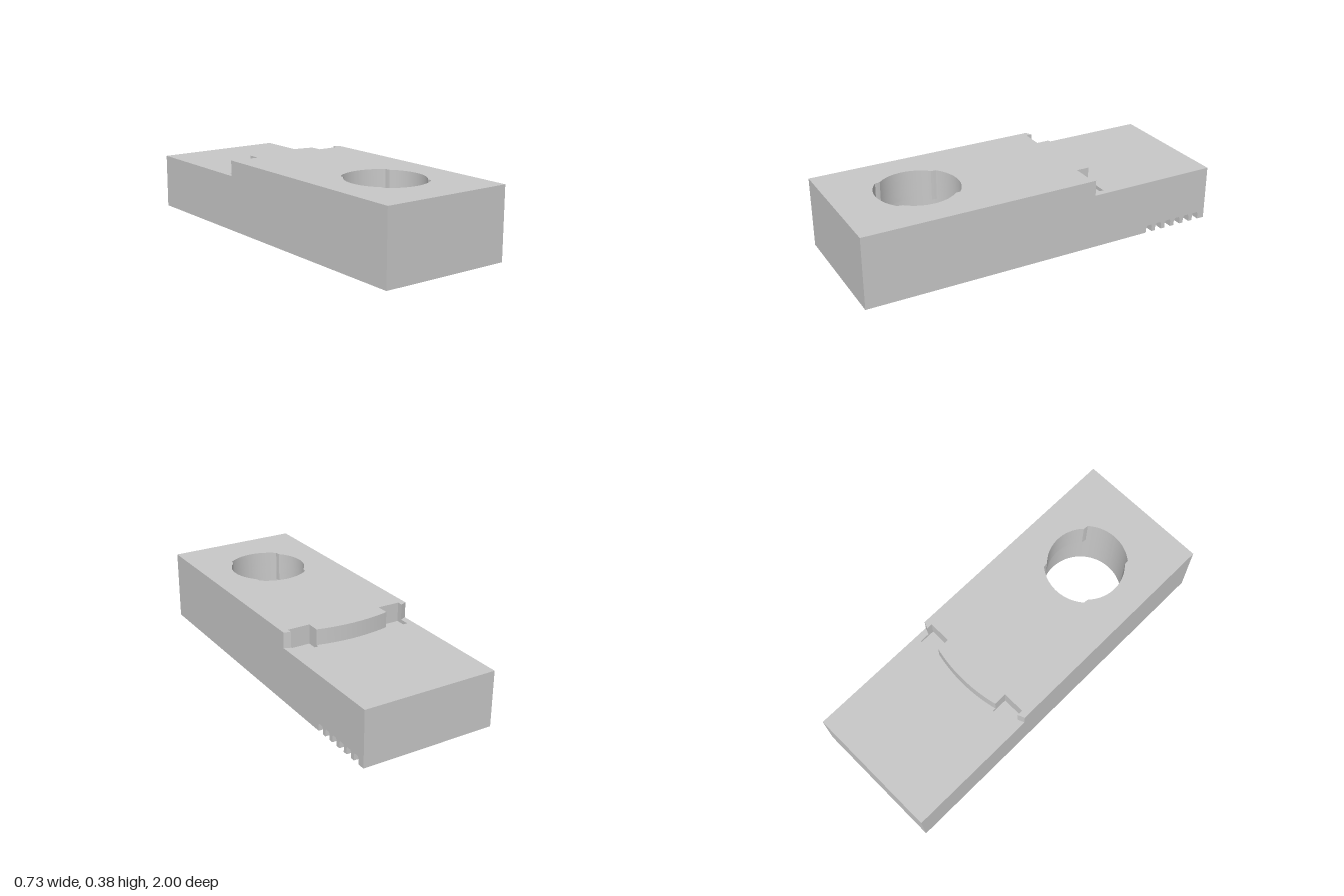
import * as THREE from 'three';
import { toCreasedNormals } from 'three/addons/utils/BufferGeometryUtils.js';

const W = 0.365, WALL = 0.06, TOP = 0.385;
const BORE_R = 0.223, BORE_Z = 0.555;
const vec = (x, z) => new THREE.Vector2(x, -z); // plan point, z towards the front

// Plan rectangle
const rect = (x0, x1, z0, z1) => [vec(x0, z1), vec(x1, z1), vec(x1, z0), vec(x0, z0)];

// Round plan outline, counter-clockwise, with a radius that may depend on the angle
function round(radiusAt, n = 128) {
  const pts = [];
  for (let i = 0; i < n; i++) {
    const a = ((i + 0.5) / n) * Math.PI * 2, r = radiusAt(a);
    pts.push(vec(r * Math.cos(a), BORE_Z - r * Math.sin(a)));
  }
  return pts;
}

// Rear edge of the raised deck: a shallow arc
const ARC_R = 0.9;
const arcZ = (x) => -0.354 + ARC_R - Math.sqrt(ARC_R * ARC_R - x * x);

// Block outline with six grip notches along one side, each narrowed by inset
function notchedOutline(inset) {
  const pts = [vec(-W, 1), vec(W, 1)];
  for (let i = 0; i < 6; i++) {
    const z0 = -0.611 - i * 0.062 - inset, z1 = -0.649 - i * 0.062 + inset, d = W - 0.04;
    pts.push(vec(W, z0), vec(d, z0), vec(d, z1), vec(W, z1));
  }
  return [...pts, vec(W, -1), vec(-W, -1)];
}

export function createModel() {
  const group = new THREE.Group();
  const grey = new THREE.MeshStandardMaterial({ color: 0xc8c8c8 });
  grey.name = 'grey';

  // Extrude a plan outline from height y0 to y1
  function slab(name, outline, holes, y0, y1) {
    const shape = new THREE.Shape(outline);
    shape.holes = holes.map((h) => new THREE.Path(h));
    const geo = new THREE.ExtrudeGeometry(shape, { depth: y1 - y0, bevelEnabled: false });
    geo.rotateX(-Math.PI / 2).translate(0, y0, 0);
    const mesh = new THREE.Mesh(toCreasedNormals(geo, 0.4), grey);
    mesh.name = name;
    group.add(mesh);
  }

  const block = rect(-W, W, -1, 1);
  const cavity = rect(-W + WALL, W - WALL, -1 + WALL, 1 - WALL);
  const bore = round(() => BORE_R);
  // Narrower at the sides, leaving two crescent ledges with straight ends
  const keyedBore = round((a) => THREE.MathUtils.clamp(0.147 / Math.abs(Math.cos(a)), 0.206, BORE_R));
  const pockets = [-1, 1].map((s) => rect(s * 0.269 - 0.061, s * 0.269 + 0.061, -0.347, -0.26));

  // Hollow lower walls, the notches softened at their top corners
  slab('notchedRim', notchedOutline(0), [cavity], 0, 0.035);
  slab('notchTops', notchedOutline(0.004), [cavity], 0.035, 0.041);
  slab('sideWalls', block, [cavity], 0.041, 0.15);

  // Tube around the bore inside the hollow underside
  slab('boreTube', round(() => 0.287), [bore], 0, 0.15);

  // Solid middle, with the ledges and then the shallow pockets appearing
  slab('corePlate', block, [bore], 0.15, 0.22);
  slab('ledgePlate', block, [keyedBore], 0.22, 0.28);
  slab('pocketPlate', block, [keyedBore, ...pockets], 0.28, 0.3);

  // Raised deck with a curved rear edge and two square notches
  const deck = [vec(-W, 1), vec(W, 1), vec(W, arcZ(W)), vec(0.33, arcZ(0.33)), vec(0.33, -0.26), vec(0.208, -0.26)];
  for (let i = 0; i <= 20; i++) {
    const x = 0.208 - (i / 20) * 0.416;
    deck.push(vec(x, arcZ(x)));
  }
  deck.push(vec(-0.208, -0.26), vec(-0.33, -0.26), vec(-0.33, arcZ(0.33)), vec(-W, arcZ(W)));
  slab('raisedDeck', deck, [keyedBore], 0.3, TOP);

  return group;
}
